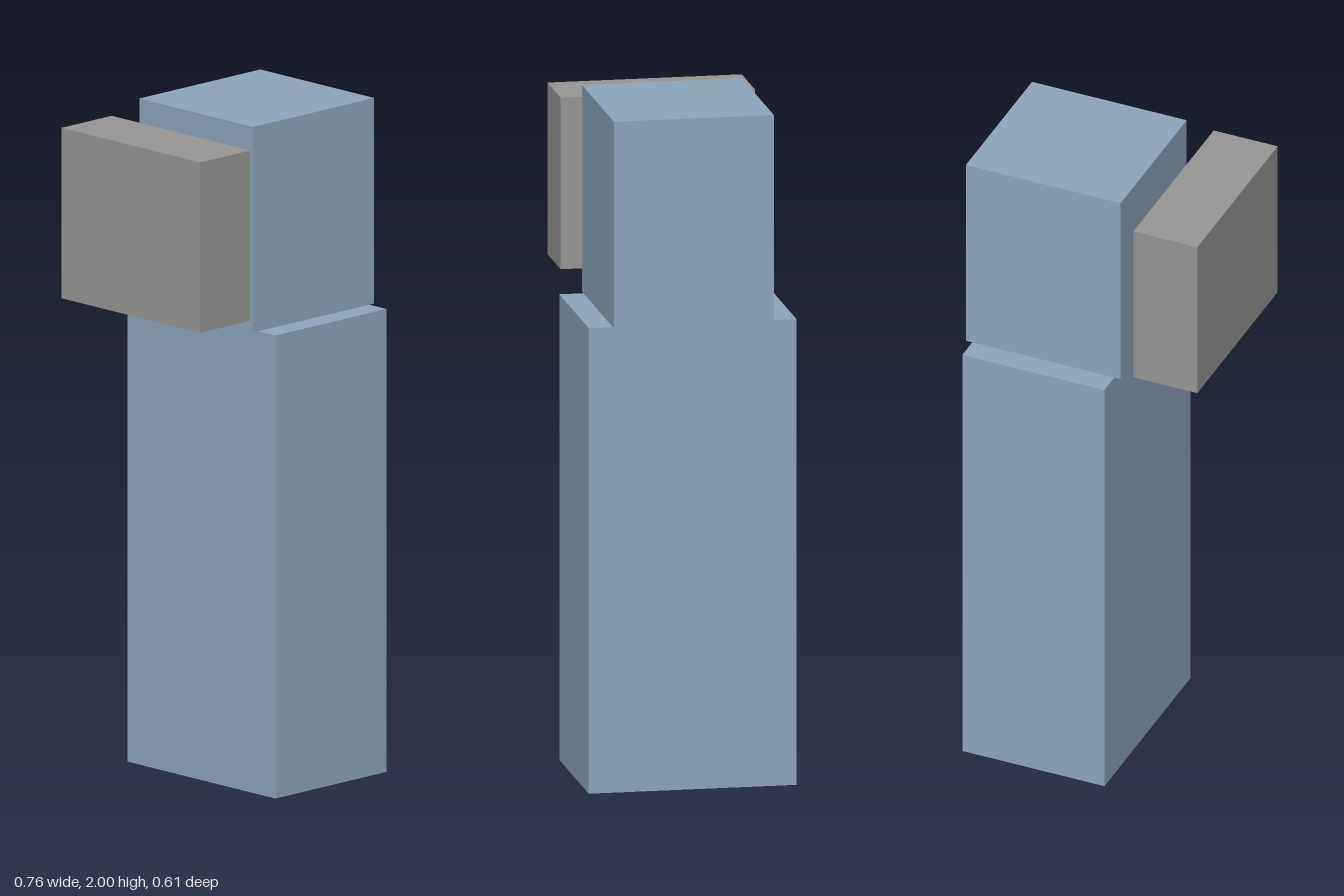
import * as THREE from 'three';

export function createModel() {
  const group = new THREE.Group();
  const blue = new THREE.MeshStandardMaterial({ color: 0x8fa6ba });
  blue.name = 'dusty blue';
  const grey = new THREE.MeshStandardMaterial({ color: 0x979695 });
  grey.name = 'mid grey';

  // Box given by its x and y ranges, centred on z = 0
  function block(name, material, x0, x1, y0, y1, depth) {
    const mesh = new THREE.Mesh(new THREE.BoxGeometry(x1 - x0, y1 - y0, depth), material);
    mesh.position.set((x0 + x1) / 2, (y0 + y1) / 2, 0);
    mesh.name = name;
    group.add(mesh);
  }

  // Tall lower column
  block('column', blue, -0.093, 0.358, 0, 1.385, 0.614);
  // Wider, shallower block on top
  block('topBlock', blue, -0.113, 0.378, 1.385, 2, 0.472);
  // Detached slab beside the top block
  block('sideSlab', grey, -0.379, -0.176, 1.44, 1.95, 0.574);

  return group;
}
